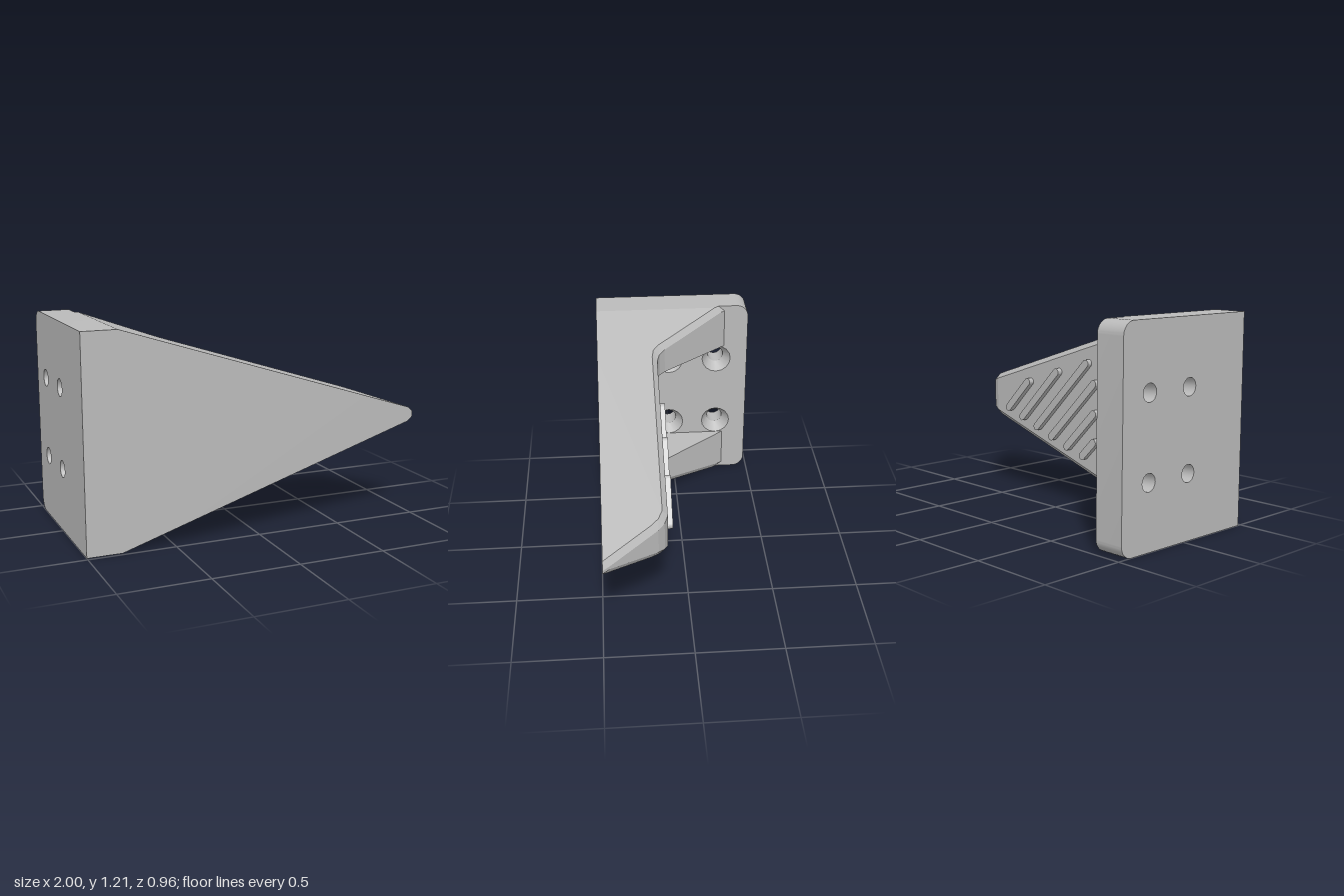
import * as THREE from 'three';
import { toCreasedNormals } from 'three/addons/utils/BufferGeometryUtils.js';

const MID = 0.605;    // half height, also the level of the mirror plane
const FRONT = 0.48;   // z of the flat front
const PLATE_X = -0.82;
const FLOOR = 0.12;   // z of the floor between the gussets
const POCKET = 0.325; // half height of the gap between the gussets

// Half height of the tapering arm at x
function halfHeight(x) {
  if (x <= -0.8) return MID;
  if (x <= 0.97) return MID - (MID - 0.0425) * (x + 0.8) / 1.77;
  return 0.0425 - 0.0275 * (x - 0.97) / 0.03;
}

// Solid arm lofted along x, with chamfered back edges and two gussets at the plate
function armGeometry() {
  // x, z of the back edge, depth of the chamfer
  const stations = [
    [PLATE_X, -0.33, 0.04], [-0.8, -0.305, 0.04], [-0.5, 0.07, 0.04], [-0.46, 0.105, 0.036],
    [-0.41, 0.12, 0.03], [0.68, 0.125, 0.03], [0.73, 0.145, 0.034], [0.77, 0.18, 0.04],
    [0.97, 0.441, 0.04], [1, FRONT, 0],
  ];
  const rings = stations.map(([x, zb, cz]) => {
    const h = halfHeight(x);
    const inner = Math.max(h - 0.033, 0.004);
    const n = Math.min(POCKET, inner);
    const half = [
      [h, FRONT], [h, Math.min(zb + cz, FRONT)], [inner, zb], [n, zb], [n, Math.max(zb, FLOOR)],
    ];
    const mirrored = half.map(([y, z]) => [-y, z]).reverse();
    return [...half, ...mirrored].map(([y, z]) => [x, MID + y, z]);
  });
  const pos = [];
  for (let s = 0; s < rings.length - 1; s++) {
    const a = rings[s], b = rings[s + 1];
    for (let i = 0; i < a.length; i++) {
      const j = (i + 1) % a.length;
      pos.push(...a[i], ...b[i], ...b[j], ...a[i], ...b[j], ...a[j]);
    }
  }
  const g = new THREE.BufferGeometry();
  g.setAttribute('position', new THREE.Float32BufferAttribute(pos, 3));
  g.computeVertexNormals();
  return g;
}

export function createModel() {
  const group = new THREE.Group();
  const grey = new THREE.MeshStandardMaterial({ color: 0xbababa });
  const add = (name, geometry) => {
    const mesh = new THREE.Mesh(geometry, grey);
    mesh.name = name;
    group.add(mesh);
    return mesh;
  };

  add('arm', armGeometry());

  // Mounting plate, outlined in (-z, y), with rounded back corners and four holes
  const H = MID * 2, R = 0.075, SIDES = 16, SINK = 0.092, HOLE = 0.05;
  const thick = PLATE_X + 1;
  const outline = new THREE.Shape();
  outline.moveTo(-FRONT, 0);
  outline.lineTo(FRONT - R, 0);
  outline.absarc(FRONT - R, R, R, -Math.PI / 2, 0);
  outline.lineTo(FRONT, H - R);
  outline.absarc(FRONT - R, H - R, R, 0, Math.PI / 2);
  outline.lineTo(-FRONT, H);
  const centres = [];
  for (const y of [0.373, 0.838]) for (const z of [0.028, -0.282]) centres.push([y, z]);
  for (const [y, z] of centres) {
    const ring = [];
    for (let i = 0; i < SIDES; i++) {
      const t = -i / SIDES * Math.PI * 2;
      ring.push(new THREE.Vector2(-z + SINK * Math.cos(t), y + SINK * Math.sin(t)));
    }
    outline.holes.push(new THREE.Path(ring));
  }
  const plate = new THREE.ExtrudeGeometry(outline, { depth: thick, bevelEnabled: false, curveSegments: 8 });
  plate.rotateY(Math.PI / 2);
  plate.translate(-1, 0, 0);
  add('mountingPlate', toCreasedNormals(plate, 0.5));

  // Countersunk linings of the screw holes
  const lining = [[SINK, thick], [HOLE, thick - 0.065], [HOLE, 0], [SINK, 0]];
  for (const [y, z] of centres) {
    const g = new THREE.LatheGeometry(lining.map(p => new THREE.Vector2(...p)), SIDES);
    g.rotateZ(-Math.PI / 2);
    add('screwHole', toCreasedNormals(g, 0.5)).position.set(-1, y, z);
  }

  // Diagonal grip ribs on the back of the arm: lower end, upper end
  const ribs = [
    [0.55, 0.525, 0.345, 0.73], [0.42, 0.48, 0.085, 0.815], [0.285, 0.435, -0.17, 0.89],
    [0.15, 0.39, -0.235, 0.775], [0.015, 0.347, -0.235, 0.597], [-0.12, 0.31, -0.235, 0.425],
  ];
  const r = 0.023;
  for (const [x0, y0, x1, y1] of ribs) {
    const half = Math.hypot(x1 - x0, y1 - y0) / 2 - r * 0.7;
    const shape = new THREE.Shape();
    shape.absarc(half, 0, r, -Math.PI / 2, Math.PI / 2);
    shape.absarc(-half, 0, r, Math.PI / 2, Math.PI * 1.5);
    const g = new THREE.ExtrudeGeometry(shape, { depth: 0.05, bevelEnabled: false, curveSegments: 4 });
    const rib = add('gripRib', g);
    rib.position.set((x0 + x1) / 2, (y0 + y1) / 2, 0.09);
    rib.rotation.z = Math.atan2(y1 - y0, x1 - x0);
  }
  return group;
}
